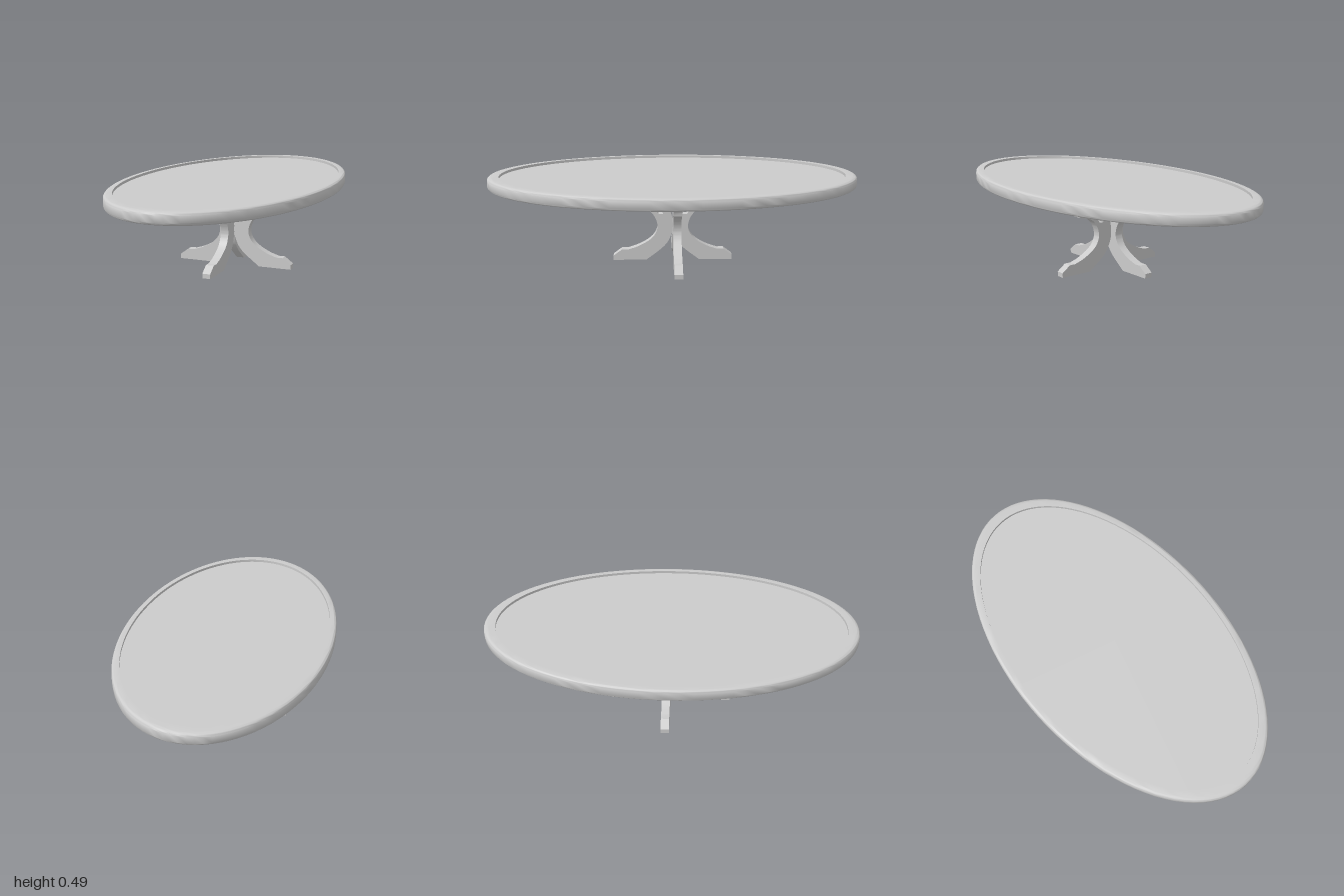
import * as THREE from 'three';
import { toCreasedNormals } from 'three/addons/utils/BufferGeometryUtils.js';

const material = new THREE.MeshStandardMaterial({ color: 0xcccccc });
const LEG = 0.045; // board thickness of the legs
const vecs = (pts) => pts.map(([x, y]) => new THREE.Vector2(x, y));

// Oval top with a raised, rounded rim around a shallow recess
function createTabletop() {
  const bottom = 0.423, top = 0.488, floor = 0.474;
  const profile = [[0, bottom]];
  const corner = (cx, cy, rx, ry, from) => {
    for (let i = 0; i <= 6; i++) {
      const a = from + (i / 6) * Math.PI / 2;
      profile.push([cx + rx * Math.cos(a), cy + ry * Math.sin(a)]);
    }
  };
  corner(0.973, bottom + 0.016, 0.027, 0.016, -Math.PI / 2);
  corner(0.973, top - 0.016, 0.027, 0.016, 0);
  profile.push([0.937, top], [0.937, floor], [0, floor]);
  const geometry = new THREE.LatheGeometry(vecs(profile), 96);
  geometry.scale(0.563, 1, 1);
  const mesh = new THREE.Mesh(toCreasedNormals(geometry, 0.7), material);
  mesh.name = 'tabletop';
  return mesh;
}

// Curved pedestal bracket, cut from a flat board, with a pierced opening
function createLegGeometry() {
  const shape = new THREE.Shape();
  shape.moveTo(0.147, 0);
  shape.lineTo(0.33, 0);
  shape.lineTo(0.33, 0.025);
  shape.lineTo(0.283, 0.06);
  shape.lineTo(0.248, 0.06);
  shape.splineThru(vecs([[0.19, 0.08], [0.13, 0.114], [0.097, 0.15], [0.084, 0.195],
    [0.1, 0.248], [0.14, 0.288], [0.215, 0.308]]));
  shape.lineTo(0.217, 0.328);
  shape.splineThru(vecs([[0.235, 0.355], [0.275, 0.374], [0.337, 0.38]]));
  shape.lineTo(0.388, 0.424);
  shape.lineTo(0.15, 0.424);
  shape.splineThru(vecs([[0.047, 0.342], [0.009, 0.265], [0, 0.2],
    [0.009, 0.145], [0.047, 0.08], [0.147, 0]]));

  const hole = new THREE.Path();
  hole.moveTo(0.15, 0.38);
  hole.lineTo(0.208, 0.38);
  hole.lineTo(0.189, 0.345);
  hole.lineTo(0.189, 0.324);
  hole.splineThru(vecs([[0.145, 0.313], [0.105, 0.295], [0.078, 0.262]]));
  hole.lineTo(0.053, 0.262);
  hole.splineThru(vecs([[0.07, 0.304], [0.1, 0.343], [0.15, 0.38]]));
  shape.holes.push(hole);

  const geometry = new THREE.ExtrudeGeometry(shape,
    { depth: LEG, bevelEnabled: false, curveSegments: 6 });
  return toCreasedNormals(geometry, 0.45);
}

export function createModel() {
  const group = new THREE.Group();
  group.name = 'ovalTable';
  group.add(createTabletop());

  // Four legs in a cross; opposite legs share one plane
  const geometry = createLegGeometry();
  const names = ['leftLeg', 'backLeg', 'rightLeg', 'frontLeg'];
  names.forEach((name, i) => {
    const pivot = new THREE.Group();
    pivot.name = name;
    pivot.rotation.y = i * Math.PI / 2;
    const board = new THREE.Mesh(geometry, material);
    board.name = name + 'Board';
    board.position.z = i < 2 ? -LEG : 0;
    pivot.add(board);
    group.add(pivot);
  });
  return group;
}
